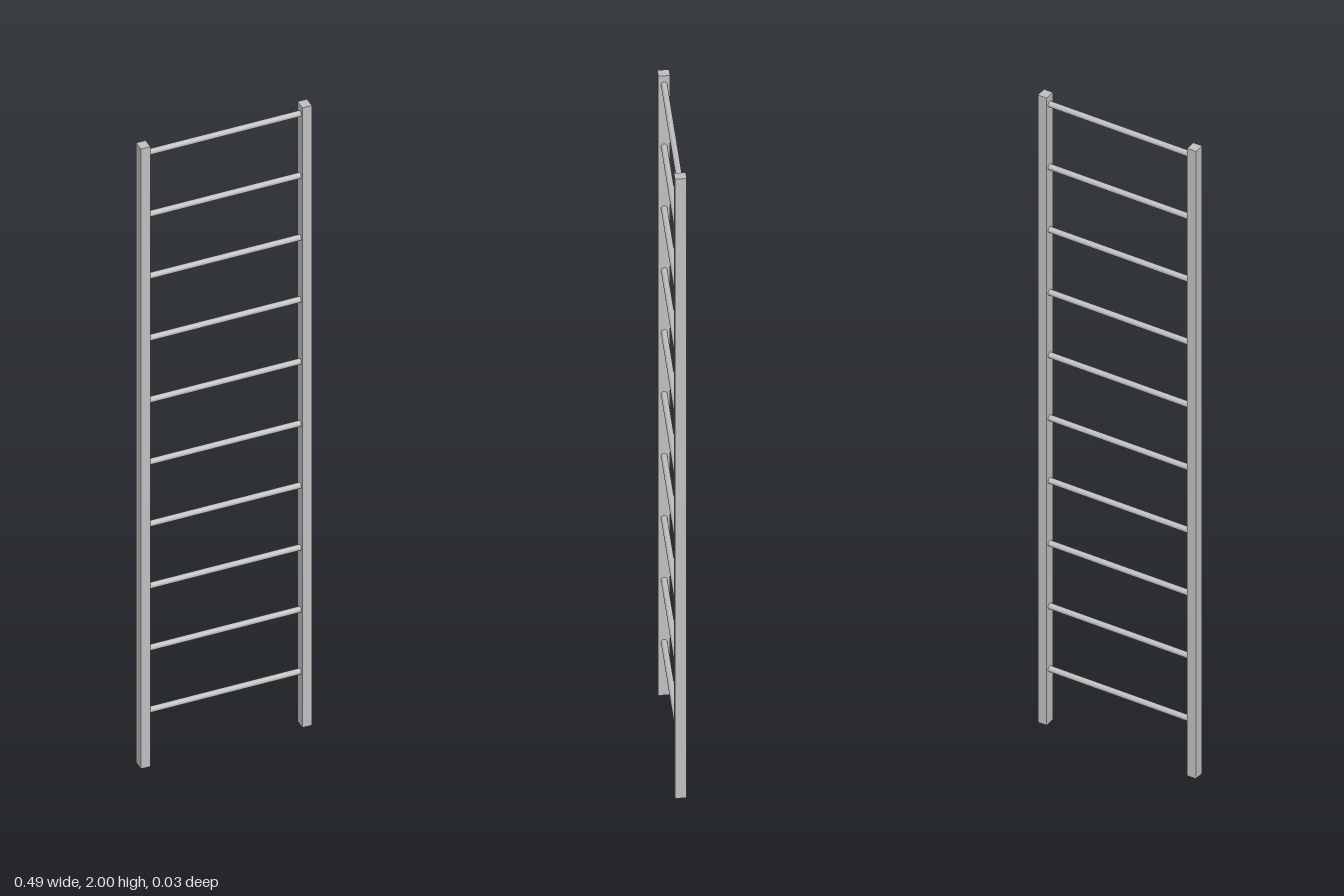
import * as THREE from 'three';

export function createModel() {
  const ladder = new THREE.Group();
  ladder.name = 'ladder';
  const metal = new THREE.MeshStandardMaterial({ color: 0xc0c0c0 });
  metal.name = 'light grey metal';

  const height = 2, railX = 0.23, railWidth = 0.027, railDepth = 0.031;

  // Two upright side rails
  const railGeometry = new THREE.BoxGeometry(railWidth, height, railDepth);
  for (const side of [-1, 1]) {
    const rail = new THREE.Mesh(railGeometry, metal);
    rail.name = side > 0 ? 'leftRail' : 'rightRail';
    rail.position.set(side * railX, height / 2, 0);
    ladder.add(rail);
  }

  // Ten evenly spaced round rungs between the rails
  const rungGeometry = new THREE.CylinderGeometry(0.0085, 0.0085, 2 * railX - railWidth, 16);
  rungGeometry.rotateZ(Math.PI / 2);
  for (let i = 0; i < 10; i++) {
    const rung = new THREE.Mesh(rungGeometry, metal);
    rung.name = `rung${i + 1}`;
    rung.position.y = 0.172 + i * 0.2;
    ladder.add(rung);
  }

  return ladder;
}
